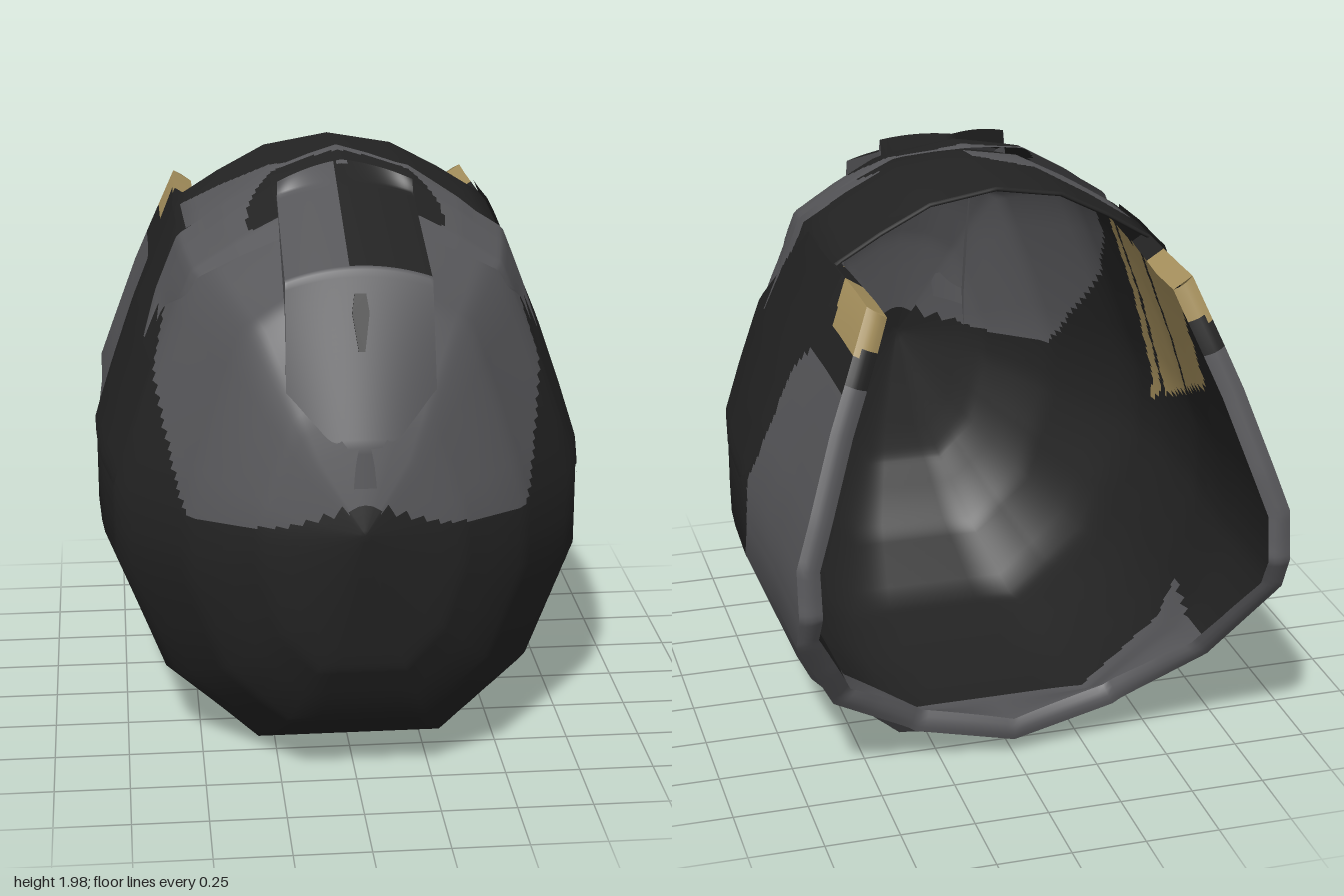
import * as THREE from 'three';

const mat = (name, color) =>
  Object.assign(new THREE.MeshStandardMaterial({ color, side: THREE.DoubleSide }), { name });
const MATS = [mat('charcoal', 0x232323), mat('slate grey', 0x57575a), mat('brass', 0xa8925e)];
const BLACK = 0, GREY = 1, BRASS = 2;

// Piecewise-linear lookup; rows are [key, value, value...] with ascending keys
function lookup(rows, k) {
  if (k <= rows[0][0]) return rows[0].slice(1);
  for (let i = 1; i < rows.length; i++) {
    const [a, b] = [rows[i - 1], rows[i]];
    if (k <= b[0]) return a.slice(1).map((v, j) => v + (b[j + 1] - v) * (k - a[0]) / (b[0] - a[0]));
  }
  return rows[rows.length - 1].slice(1);
}

// Half cross-section from keel to crown: [u, width factor, height factor, rear rounding]
const SECTION = [[0, -1, 0], [0.43, -1, 1], [0.8, -0.7, 0.5], [1, -0.22, 0], [1, 0.1, 0], [0.83, 0.47, 0],
  [0.65, 0.8, 0], [0.47, 0.885, 0], [0.27, 0.965, 0], [0, 1, 0]].map((row, i) => [i / 9, ...row]);
const WALL = 6 / 9;

// Stations along the body: [z, half width, bottom, middle, top]
const STATIONS = [
  [-0.62, 0.81, 0.065, 0.87, 1.95], [-0.35, 0.82, 0.02, 0.87, 1.95], [-0.2, 0.83, 0.01, 0.87, 1.95],
  [0.03, 0.82, 0.005, 0.87, 1.945], [0.15, 0.81, 0.012, 0.87, 1.93], [0.4, 0.77, 0.035, 0.87, 1.87],
  [0.48, 0.72, 0.045, 0.87, 1.84], [0.78, 0.52, 0.25, 0.9, 1.7], [0.97, 0.24, 0.58, 0.95, 1.25],
  [1, 0, 0.97, 0.97, 0.97]];

// Rear edge of the walls by section height, underside rounding and wall thickness by z
const REAR = [[-1, -0.61], [-0.7, -0.71], [-0.23, -0.93], [-0.07, -0.99], [0.1, -0.97],
  [0.23, -0.94], [0.6, -0.83], [0.8, -0.76]];
const ROUNDING = [[-0.62, 0.09], [-0.4, 0]];
const THICKNESS = [[-0.6, 0.075], [-0.25, 0.055], [0.25, 0.015]];
const wallThick = z => lookup(THICKNESS, z)[0];

function section(u) {
  const m = u > 1 ? 2 - u : Math.abs(u);
  const [x, t, round] = lookup(SECTION, m);
  return { x: u < 0 || u > 1 ? -x : x, t, round };
}

function skin(z, u) {
  const { x, t, round } = section(u);
  const [w, lo, mid, hi] = lookup(STATIONS, z);
  const y = mid + t * (t < 0 ? mid - lo : hi - mid) + round * lookup(ROUNDING, z)[0];
  return new THREE.Vector3(x * w, y, z);
}

// Smoothed outward direction of the skin
function outward(z, u) {
  const dz = skin(z - 0.07, u).sub(skin(Math.min(1, z + 0.07), u));
  const n = dz.cross(skin(z, u + 0.05).sub(skin(z, u - 0.05)));
  return n.lengthSq() < 1e-10 ? new THREE.Vector3(0, 0, 1) : n.normalize();
}

const offset = (z, u, d) => skin(z, u).addScaledVector(outward(z, u), d);

// Grid surface whose cells are sorted into colour groups by paint(centre)
function patch(name, na, nb, point, paint, { normal, flip = false } = {}) {
  const pos = [], nor = [], lists = MATS.map(() => []), pts = [];
  for (let i = 0; i <= na; i++) for (let j = 0; j <= nb; j++) {
    const p = point(i / na, j / nb);
    pts.push(p);
    pos.push(p.x, p.y, p.z);
    if (normal) nor.push(...normal(i / na, j / nb).toArray());
  }
  for (let i = 0; i < na; i++) for (let j = 0; j < nb; j++) {
    const a = i * (nb + 1) + j, b = a + nb + 1;
    const c = pts[a].clone().add(pts[b + 1]).multiplyScalar(0.5);
    lists[paint(c)].push(...(flip ? [a, a + 1, b, b, a + 1, b + 1] : [a, b, a + 1, b, b + 1, a + 1]));
  }
  const g = new THREE.BufferGeometry();
  g.setAttribute('position', new THREE.Float32BufferAttribute(pos, 3));
  g.setIndex(lists.flat());
  let start = 0;
  lists.forEach((l, m) => { if (l.length) g.addGroup(start, l.length, m); start += l.length; });
  if (normal) g.setAttribute('normal', new THREE.Float32BufferAttribute(nor, 3));
  else g.computeVertexNormals();
  const mesh = new THREE.Mesh(g, MATS);
  mesh.name = name;
  return mesh;
}

// Colour rules
const REAR_PAINT = [[0, -0.04], [0.35, -0.15], [0.8, -0.23], [1.1, -0.29], [1.4, -0.34], [1.5, -0.44]];
const FRONT_PAINT = [[0, 1.07], [0.25, 0.99], [0.4, 0.96], [0.6, 0.96]];
const inCollar = ({ x, z }) => (x / 0.32) ** 2 + ((z - 0.33) / 0.28) ** 2 < 1 && z < 0.4;
function paintOutside(p) {
  const { x, y, z } = p;
  if (z > 0.15) {
    const grey = y > lookup(FRONT_PAINT, Math.abs(x))[0] && y > 1.52 - (z - 0.25) * 1.14;
    return grey && !(y > 1.6 && inCollar(p)) ? GREY : BLACK;
  }
  if (y > 1.61 && z < -0.48 - (1.73 - y) * 0.4) return BRASS;
  if (y < 1.5 && z < lookup(REAR_PAINT, y)[0]) return GREY;
  return y > 1.74 && x < -0.04 && z > -0.18 + (x + 0.5) * 0.44 ? GREY : BLACK;
}
function paintInside(p) {
  const { x, y, z } = p;
  const s = z - 0.3 * (1.7 - y);
  const stripe = [[-0.8, -0.45], [-0.41, -0.07], [-0.04, 0.03]].some(([a, b]) => s > a && s < b);
  if (stripe && y > 1.27 - (s + 0.7) * 0.52 && y < 1.69 && Math.abs(x) > 0.3) return BRASS;
  if (z > 0.2) return paintOutside(p);
  return y < 0.45 && z < -0.33 ? GREY : BLACK;
}
const paintRim = ({ y, z }) => (y > 1.6 && z < -0.48 ? BRASS : y < 1.5 && z < -0.4 ? GREY : BLACK);

// Outer skin, lining and rear lip for one range of the section
function shell(name, u0, u1, rear, thick, cols) {
  const g = new THREE.Group();
  g.name = name;
  const U = b => u0 + (u1 - u0) * b;
  const Z = (a, b) => 1 - (1 - rear(U(b))) * a ** 1.3;
  g.add(patch(name + 'Outside', 170, cols, (a, b) => skin(Z(a, b), U(b)), paintOutside,
    { normal: (a, b) => outward(Z(a, b), U(b)) }));
  g.add(patch(name + 'Lining', 120, cols, (a, b) => offset(Z(a, b), U(b), -thick(Z(a, b))), paintInside,
    { normal: (a, b) => outward(Z(a, b), U(b)).negate(), flip: true }));
  g.add(patch(name + 'Lip', 4, cols, (a, b) => {
    const z = rear(U(b)), p = offset(z, U(b), -thick(z) * a);
    p.z -= 0.012 * Math.sin(Math.PI * a);
    return p;
  }, paintRim));
  return g;
}

export function createModel() {
  const model = new THREE.Group();
  model.name = 'openShell';

  // Body with side walls, and the shorter, thinner roof
  const wallRear = u => lookup(REAR, section(u).t)[0];
  const roofRear = u => -0.34 - 0.02 * (1 - Math.abs(1 - u) * 3);
  model.add(shell('body', -WALL, WALL, wallRear, wallThick, 156));
  model.add(shell('roof', WALL, 2 - WALL, roofRear, () => 0.015, 48));

  // Side walls: top edges and thin raised panels
  const panelFront = [[0.03, 0.38], [0.1, 0.41], [0.5, 0.4], [0.67, 0.13], [0.8, 0]];
  const panelRear = [[0.03, -0.08], [0.12, -0.26], [0.5, -0.32], [0.6, -0.34], [0.66, -0.45], [0.8, -0.47]];
  for (const side of [1, -1]) {
    model.add(patch('wallTop', 3, 40, (a, b) => {
      const z = -0.3 - 0.46 * b;
      return offset(z, side * WALL, -wallThick(z) * a);
    }, paintRim, { flip: side > 0 }));
    model.add(patch('sidePanel', 16, 20, (a, b) => {
      const u = side * (3.9 / 9 + (WALL - 3.9 / 9) * b), { t } = section(u);
      const front = lookup(panelFront, t)[0], back = lookup(panelRear, t)[0];
      return offset(front + (back - front) * a, u, Math.min(0.01, 0.002 + 0.03 * t));
    }, () => BLACK, { flip: side < 0 }));
  }

  // Raised brow cap that lifts off the roof and ends in a downward point each side
  const capRear = [[0.4, 0.25], [0.63, 0.14], [0.85, 0.16], [0.97, 0.08], [1, -0.02]];
  const capFront = [[0.4, 0.25], [0.62, 0.26], [0.72, 0.42], [1, 0.5]];
  const capLift = [[0.4, 0.002], [0.6, 0.01], [0.85, 0.018], [1, 0.032]];
  const u0 = 4.81 / 9;
  model.add(patch('browCap', 32, 100, (a, b) => {
    const u = u0 + (2 - 2 * u0) * b, t = section(u).t;
    const front = lookup(capFront, t)[0], back = lookup(capRear, t)[0];
    return offset(front + (back - front) * a, u, 0.004 + lookup(capLift, t)[0] * Math.min(1, a * 1.5));
  }, p => (inCollar(p) ? BLACK : GREY)));

  // Central ridge: rounded top, sloping nose, pointed rear and side skirts
  const spine = [[0, 1.12, 0.985], [0.1, 1.25, 0.97], [0.5, 1.765, 0.78], [0.9, 1.93, 0.32], [1, 1.975, 0.18]];
  const ridgePoint = (a, b) => {
    const [y, z] = lookup(spine, b);
    return new THREE.Vector3(a * (0.24 - 0.02 * b), y - 0.04 * a * a,
      z + Math.max(0, b - 0.9) * 1.3 * Math.abs(a) - 0.07 * a * a * Math.max(0, 1 - b * 2));
  };
  const ridgePaint = ({ x, z }) => (x > -0.03 && z > 0.2 && z < 0.77 ? BLACK : GREY);
  model.add(patch('ridgeTop', 48, 60, (a, b) => ridgePoint(a * 2 - 1, b), ridgePaint, { flip: true }));
  const sunk = (p, d) => p.add(new THREE.Vector3(0, -d, -d * 0.35));
  for (const side of [1, -1]) {
    model.add(patch('ridgeSide', 1, 40, (a, b) => sunk(ridgePoint(side, b), 0.08 * a), () => GREY,
      { flip: side > 0 }));
  }
  model.add(patch('ridgeRear', 1, 20, (a, b) => {
    const p = ridgePoint(b * 2 - 1, 1);
    p.y -= 0.06 * a;
    return p;
  }, () => BLACK));

  // Small tapered slit on the ridge nose
  const slit = new THREE.Shape([[-0.018, 0.09], [0.018, 0.09], [0.027, 0.03], [0.01, -0.09],
    [-0.01, -0.09], [-0.027, 0.03]].map(([x, y]) => new THREE.Vector2(x, y)));
  const mark = new THREE.Mesh(new THREE.ExtrudeGeometry(slit, { depth: 0.008, bevelEnabled: false }), MATS[BLACK]);
  mark.name = 'noseSlit';
  mark.position.set(0, 1.61, 0.836);
  mark.rotation.x = -0.352;
  model.add(mark);

  return model;
}
